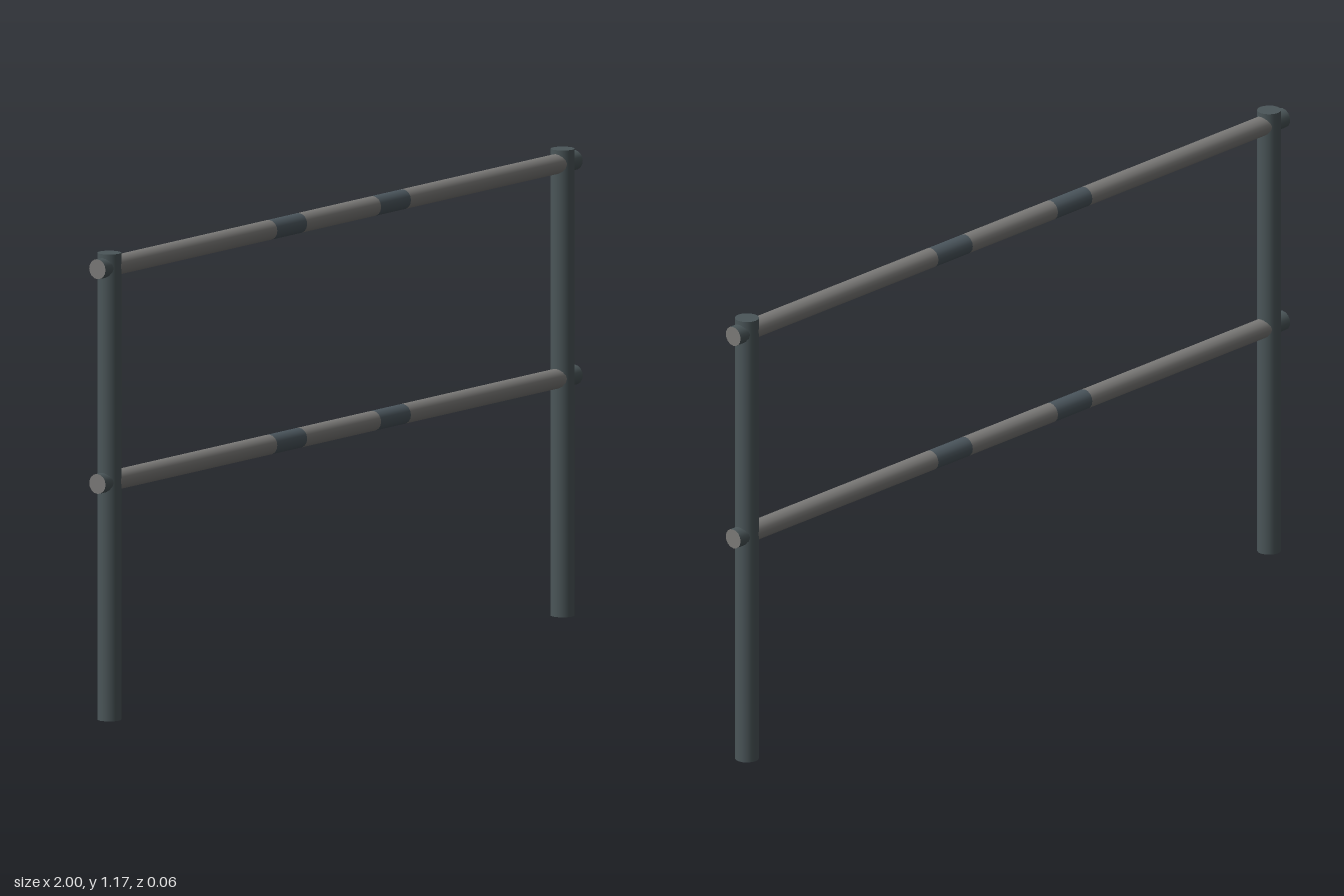
import * as THREE from 'three';

const mat = (name, color) => new THREE.MeshStandardMaterial({ name, color });

export function createModel() {
  const group = new THREE.Group();
  const postSteel = mat('dark slate steel', 0x4b5659);
  const railSteel = mat('warm grey steel', 0x7b7a78);
  const bandPaint = mat('blue grey paint', 0x4b565d);

  const POST_X = 0.95, POST_R = 0.03, POST_H = 1.17;
  const RAIL_R = 0.025, SIDES = 16;

  const add = (parent, name, geometry, material) => {
    const mesh = new THREE.Mesh(geometry, material);
    mesh.name = name;
    parent.add(mesh);
    return mesh;
  };

  // Upright posts
  for (const [name, side] of [['leftPost', 1], ['rightPost', -1]]) {
    const post = add(group, name, new THREE.CylinderGeometry(POST_R, POST_R, POST_H, SIDES), postSteel);
    post.position.set(side * POST_X, POST_H / 2, 0);
  }

  // Rail sections along x: start, end, name, material
  const sections = [
    [-1, -POST_X, 'rightRailEnd', postSteel],
    [-POST_X, -0.28, 'rightRailTube', railSteel],
    [-0.28, -0.155, 'rightBand', bandPaint],
    [-0.155, 0.155, 'middleRailTube', railSteel],
    [0.155, 0.28, 'leftBand', bandPaint],
    [0.28, POST_X, 'leftRailTube', railSteel],
    [POST_X, 1, 'leftRailEnd', postSteel],
  ];

  for (const [name, y] of [['lowerRail', 0.597], ['upperRail', 1.135]]) {
    const rail = new THREE.Group();
    rail.name = name;
    rail.position.y = y;
    for (const [a, b, part, material] of sections) {
      const tube = new THREE.CylinderGeometry(RAIL_R, RAIL_R, b - a, SIDES, 1, true);
      tube.rotateZ(-Math.PI / 2).translate((a + b) / 2, 0, 0);
      add(rail, part, tube, material);
    }
    // Discs closing both ends
    for (const side of [1, -1]) {
      const cap = new THREE.CircleGeometry(RAIL_R, SIDES);
      cap.rotateY(side * Math.PI / 2).translate(side, 0, 0);
      add(rail, side > 0 ? 'leftEndCap' : 'rightEndCap', cap, railSteel);
    }
    group.add(rail);
  }
  return group;
}
